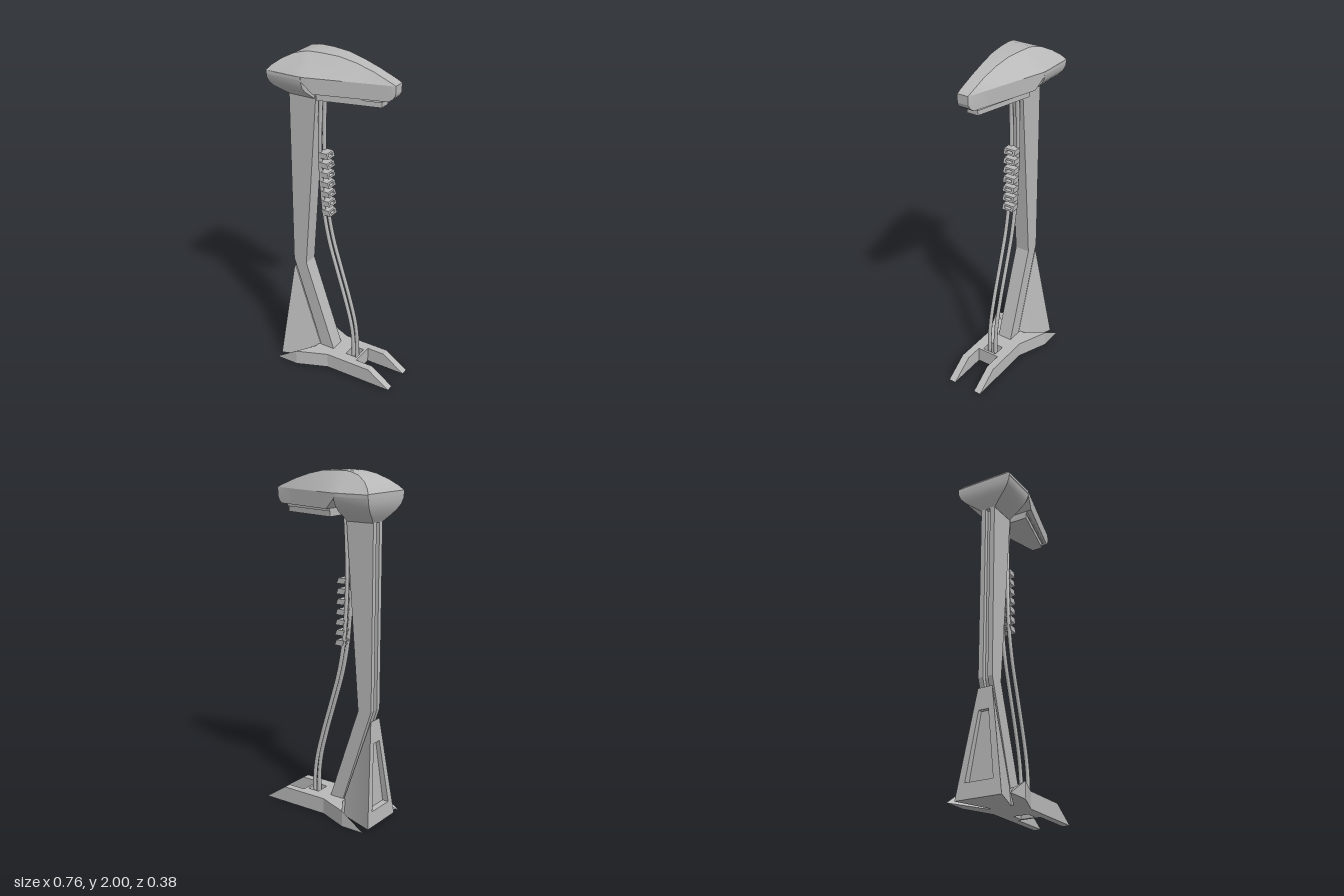
import * as THREE from 'three';
import { toCreasedNormals } from 'three/addons/utils/BufferGeometryUtils.js';

const grey = new THREE.MeshStandardMaterial({ color: 0xb8b8b8 });
grey.name = 'plain grey';

// Skin a row of equal-length rings and cap both ends
function loft(rings) {
  const n = rings[0].length;
  const p = rings.flat();
  let idx = [];
  for (let r = 0; r < rings.length - 1; r++) {
    for (let i = 0; i < n; i++) {
      const a = r * n + i, b = r * n + (i + 1) % n;
      idx.push(a, b, b + n, a, b + n, a + n);
    }
  }
  const last = (rings.length - 1) * n;
  for (let i = 1; i < n - 1; i++) {
    idx.push(0, i + 1, i, last, last + i, last + i + 1);
  }
  // Turn the faces outward when the enclosed volume is negative
  let volume = 0;
  const v = p.map((q) => new THREE.Vector3(...q));
  for (let i = 0; i < idx.length; i += 3) {
    volume += v[idx[i]].dot(v[idx[i + 1]].clone().cross(v[idx[i + 2]]));
  }
  if (volume < 0) idx.reverse();
  const g = new THREE.BufferGeometry();
  g.setAttribute('position', new THREE.Float32BufferAttribute(p.flat(), 3));
  g.setIndex(idx);
  return toCreasedNormals(g.toNonIndexed(), 0.45);
}

const toShape = (pts) => new THREE.Shape(pts.map(([x, y]) => new THREE.Vector2(x, y)));
const toHole = (pts) => new THREE.Path(pts.map(([x, y]) => new THREE.Vector2(x, y)));
const rect = (x0, x1, y0, y1) => [[x0, y0], [x1, y0], [x1, y1], [x0, y1]];
const extrude = (shape, depth) => new THREE.ExtrudeGeometry(shape, { depth, bevelEnabled: false });

export function createModel() {
  const model = new THREE.Group();
  const add = (name, geometry) => {
    const mesh = new THREE.Mesh(geometry, grey);
    mesh.name = name;
    model.add(mesh);
    return mesh;
  };

  // Base: forked plate with chiselled tips
  const half = [[0.38, 0.115], [-0.05, 0.115], [-0.235, 0.19], [-0.38, 0.19], [-0.16, 0.075]];
  const fork = [[0.13, -0.07], [0.38, -0.07]];
  const plan = [
    [0.13, 0.07], [0.38, 0.07], ...half,
    ...half.map(([x, z]) => [x, -z]).reverse(), ...fork.reverse(),
  ];
  const planShape = toShape(plan);
  planShape.holes.push(toHole(rect(0.04, 0.115, -0.045, 0.045)));
  const base = extrude(planShape, 0.095).rotateX(-Math.PI / 2);
  const bp = base.attributes.position;
  for (let i = 0; i < bp.count; i++) {
    if (bp.getY(i) < 0.05) continue;
    if (bp.getX(i) > 0.3) bp.setX(i, 0.24);
    if (bp.getX(i) < -0.3) bp.setX(i, -0.236);
  }
  base.computeVertexNormals();
  add('base', base);

  // Rear brace: wedge with a sunken panel in its back
  const quad = (xb, xt, y0, y1, w0, w1) => [[xb, y0, -w0], [xb, y0, w0], [xt, y1, w1], [xt, y1, -w1]];
  add('rearBrace', loft([
    quad(-0.115, -0.325, 0, 0.61, 0.045, 0.04),
    quad(-0.38, -0.33, 0, 0.61, 0.14, 0.045),
    quad(-0.373, -0.341, 0.09, 0.48, 0.085, 0.03),
    quad(-0.335, -0.315, 0.09, 0.48, 0.085, 0.03),
  ]));

  // Post: two side cheeks and a core set back to leave a groove
  const postProfile = (inset) => toShape([
    [-0.14 + inset, 0.09], [-0.05, 0.09], [-0.242, 0.66], [-0.15, 1.8],
    [-0.33 + inset, 1.8], [-0.33 + inset, 0.67],
  ]);
  for (const z of [-0.045, 0.015]) add('postCheek', extrude(postProfile(0), 0.03).translate(0, 0, z));
  add('postCore', extrude(postProfile(0.025), 0.03).translate(0, 0, -0.015));

  // Cables
  const path = [
    [-0.13, 1.82], [-0.142, 1.6], [-0.146, 1.4], [-0.138, 1.2], [-0.122, 1.02], [-0.09, 0.85],
    [-0.035, 0.66], [0.025, 0.46], [0.065, 0.3], [0.08, 0.18], [0.08, 0.04],
  ];
  for (const z of [-0.022, 0.022]) {
    const curve = new THREE.CatmullRomCurve3(path.map(([x, y]) => new THREE.Vector3(x, y, z)));
    add('cable', new THREE.TubeGeometry(curve, 48, 0.012, 8));
  }

  // Cable clips: slotted blocks with slanted ends
  for (let i = 0; i < 7; i++) {
    const frame = toShape(rect(-0.036, 0.036, -0.016, 0.016));
    frame.holes.push(toHole(rect(-0.022, 0.022, -0.007, 0.007)));
    const clip = extrude(frame, 0.052).rotateY(Math.PI / 2);
    const cp = clip.attributes.position;
    for (let k = 0; k < cp.count; k++) cp.setX(k, cp.getX(k) - cp.getY(k) * 0.35);
    clip.computeVertexNormals();
    add('cableClip', clip).position.set(-0.142 + i * 0.002, 1.393 - i * 0.0595, 0);
  }

  // Head shell: x, ridge height, ridge half width, side half width, underside height
  const shell = [
    [-0.382, 1.892, 0.177, 0.178, 1.86], [-0.36, 1.918, 0.153, 0.178, 1.82],
    [-0.32, 1.95, 0.12, 0.178, 1.80], [-0.26, 1.981, 0.089, 0.178, 1.80],
    [-0.2, 1.996, 0.074, 0.178, 1.80], [-0.17, 1.999, 0.069, 0.178, 1.80],
    [-0.1, 2.0, 0.063, 0.158, 1.80], [0, 1.995, 0.052, 0.129, 1.80],
    [0.1, 1.974, 0.042, 0.1, 1.80], [0.2, 1.943, 0.037, 0.071, 1.80],
    [0.295, 1.905, 0.035, 0.044, 1.80], [0.318, 1.895, 0.034, 0.037, 1.817],
    [0.33, 1.889, 0.033, 0.034, 1.84],
  ];
  // The rear underside stays inside the tapering neck
  add('headShell', loft(shell.map(([x, yt, wr, ws, yb]) => {
    const y = x < -0.16 ? 1.87 : yb;
    return [[x, yt, wr], [x, 1.888, ws], [x, y, ws], [x, y, -ws], [x, 1.888, -ws], [x, yt, -wr]];
  })));

  // Head neck: rounded block narrowing down to the post
  const neck = [
    [1.889, -0.382, 0.178], [1.85, -0.382, 0.174], [1.82, -0.377, 0.16],
    [1.79, -0.366, 0.132], [1.76, -0.35, 0.09], [1.728, -0.328, 0.046],
  ];
  add('headNeck', loft(neck.map(([y, x, w]) => [[x, y, -w], [x, y, w], [-0.162, y, w], [-0.162, y, -w]])));

  // Lamp panel under the head, in two tiers
  const panel = (x0, x1, w0, w1, y, h) =>
    extrude(toShape([[x0, -w0], [x1, -w1], [x1, w1], [x0, w0]]), h).rotateX(-Math.PI / 2).translate(0, y, 0);
  add('lampPanelRim', panel(-0.1, 0.255, 0.127, 0.04, 1.785, 0.02));
  add('lampPanel', panel(-0.1, 0.25, 0.122, 0.034, 1.755, 0.035));

  return model;
}
